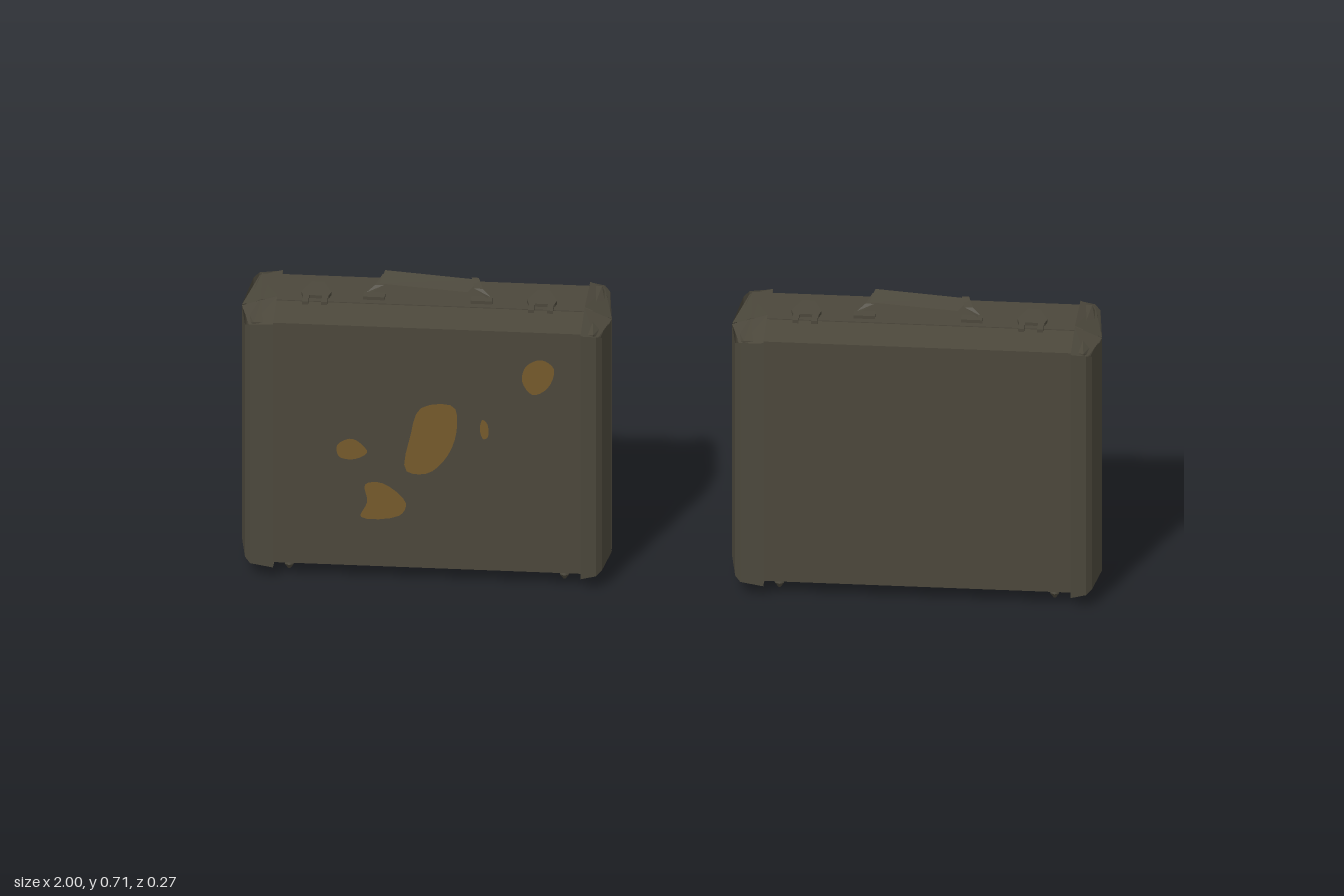
import * as THREE from 'three';
import { ConvexGeometry } from 'three/addons/geometries/ConvexGeometry.js';

const leather = new THREE.MeshStandardMaterial({ color: 0x4c483c, side: THREE.DoubleSide });
leather.name = 'dark leather';
const rust = new THREE.MeshStandardMaterial({ color: 0x765a2c, side: THREE.DoubleSide });
rust.name = 'ochre stain';

function part(parent, name, geometry, material = leather) {
  const mesh = new THREE.Mesh(geometry, material);
  mesh.name = name;
  parent.add(mesh);
  return mesh;
}

// Flat-shaded strip of quads between two rows of points
function ribbon(rowA, rowB) {
  const pos = [];
  for (let i = 0; i + 1 < rowA.length; i++) {
    const [a, b, c, d] = [rowA[i], rowA[i + 1], rowB[i + 1], rowB[i]];
    pos.push(...a, ...b, ...c, ...a, ...c, ...d);
  }
  const g = new THREE.BufferGeometry();
  g.setAttribute('position', new THREE.Float32BufferAttribute(pos, 3));
  g.computeVertexNormals();
  return g;
}

// One half of the shell: highest at the seam, bevelled towards both ends
function shellHalf(seam, outer) {
  const s = Math.sign(outer - seam);
  const pts = [];
  for (const x of [-1, 1]) {
    for (const [px, low, high, z] of [
      [0.422, 0.05, 0.648, seam], [0.385, 0.032, 0.668, seam],
      [0.41, 0.05, 0.645, outer - s * 0.02], [0.395, 0.036, 0.661, outer],
    ]) {
      pts.push(new THREE.Vector3(x * px, low, z), new THREE.Vector3(x * px, high, z));
    }
  }
  return new ConvexGeometry(pts);
}

// Folded corner guard: upright strip, end panel, and sloping top and bottom flaps
function cornerGuard(side, inner, seam, outer) {
  const s = Math.sign(outer - seam);
  const g = new THREE.Group();
  g.name = 'cornerGuard';
  const plan = [[inner, outer, 0.03, 0.664], [0.402, outer - s * 0.006, 0.036, 0.66],
    [0.415, outer - s * 0.02, 0.045, 0.652], [0.43, seam, 0.045, 0.652]];
  part(g, 'guardSide', ribbon(
    plan.map(([x, z, low]) => [side * x, low, z]),
    plan.map(([x, z, , high]) => [side * x, high, z])));
  const flap = (yIn, yOut) => ribbon(
    [[side * inner, yIn, seam], [side * 0.43, yOut, seam]],
    [[side * inner, yIn + (yOut - yIn) * 0.5, outer], [side * 0.402, yOut, outer - s * 0.006]]);
  part(g, 'guardTop', flap(0.679, 0.652));
  part(g, 'guardBottom', flap(0.018, 0.045));
  return g;
}

// Flat outline lying on the lid, given in x and z
function flatPlate(points, depth) {
  const shape = new THREE.Shape(points.map(([x, z]) => new THREE.Vector2(x, -z)));
  return new THREE.ExtrudeGeometry(shape, { depth, bevelEnabled: false }).rotateX(-Math.PI / 2);
}

function makeHandle() {
  const g = new THREE.Group();
  g.name = 'handle';
  // Folded grip: a wide upper sheet and a short turned-down rear edge
  part(g, 'grip', ribbon(
    [[-0.115, 0.694, -0.03], [-0.105, 0.706, -0.075], [-0.105, 0.692, -0.1]],
    [[0.09, 0.68, -0.03], [0.115, 0.69, -0.075], [0.115, 0.676, -0.1]]));
  for (const s of [-1, 1]) {
    part(g, 'handleStrap', ribbon(
      [[s * 0.095, 0.69, -0.085], [s * 0.105, 0.685, -0.04], [s * 0.145, 0.673, -0.005]],
      [[s * 0.112, 0.69, -0.085], [s * 0.125, 0.685, -0.04], [s * 0.145, 0.673, -0.022]]));
    part(g, 'handleMount', new THREE.BoxGeometry(0.05, 0.008, 0.025)).position.set(s * 0.125, 0.671, -0.01);
  }
  return g;
}

function makeSuitcase() {
  const g = new THREE.Group();
  g.name = 'suitcase';
  for (const [name, seam, outer, edge] of [
    ['frontShell', 0.0245, 0.124, 0.14], ['backShell', 0.0205, -0.122, -0.134],
  ]) {
    part(g, name, shellHalf(seam, outer));
    g.add(cornerGuard(-1, 0.348, seam, edge), cornerGuard(1, 0.367, seam, edge));
  }
  g.add(makeHandle());

  // Latches with a tapered tongue and two small hooks
  for (const x of [-0.26, 0.265]) {
    const latch = part(g, 'latch', flatPlate([[-0.015, -0.065], [0.015, -0.065], [0.035, -0.015],
      [0.03, 0.005], [-0.03, 0.005], [-0.035, -0.015]], 0.008));
    latch.position.set(x, 0.667, 0);
    for (const s of [-1, 1]) {
      part(g, 'latchHook', new THREE.BoxGeometry(0.014, 0.008, 0.035))
        .position.set(x + s * 0.022, 0.671, 0.02);
    }
  }

  // Small tapered feet
  for (const x of [-0.315, 0.325]) {
    for (const z of [0.08, -0.055]) {
      part(g, 'foot', new THREE.CylinderGeometry(0.007, 0.012, 0.022, 6)).position.set(x, 0.024, z);
      part(g, 'footTip', new THREE.CylinderGeometry(0.012, 0.003, 0.013, 6)).position.set(x, 0.0065, z);
    }
  }
  return g;
}

// Rounded stain outlines in x and y
const stains = [
  [[-0.575, 0.455], [-0.5, 0.462], [-0.492, 0.4], [-0.515, 0.33], [-0.56, 0.285], [-0.61, 0.29], [-0.6, 0.38]],
  [[-0.33, 0.575], [-0.295, 0.592], [-0.266, 0.57], [-0.28, 0.52], [-0.315, 0.5], [-0.34, 0.535]],
  [[-0.77, 0.35], [-0.735, 0.368], [-0.7, 0.335], [-0.73, 0.315], [-0.765, 0.32]],
  [[-0.705, 0.25], [-0.665, 0.255], [-0.61, 0.205], [-0.625, 0.172], [-0.715, 0.165], [-0.7, 0.205]],
  [[-0.432, 0.43], [-0.421, 0.42], [-0.42, 0.385], [-0.43, 0.38], [-0.438, 0.405]],
];

export function createModel() {
  const model = new THREE.Group();
  model.name = 'suitcasePair';
  for (const side of [-1, 1]) {
    const suitcase = makeSuitcase();
    suitcase.position.x = side * 0.57;
    model.add(suitcase);
  }
  for (const outline of stains) {
    const curve = new THREE.CatmullRomCurve3(outline.map(([x, y]) => new THREE.Vector3(x, y, 0)), true);
    const shape = new THREE.Shape(curve.getPoints(24).slice(0, -1).map(p => new THREE.Vector2(p.x, p.y)));
    part(model, 'stain', new THREE.ShapeGeometry(shape), rust).position.z = 0.128;
  }
  return model;
}
